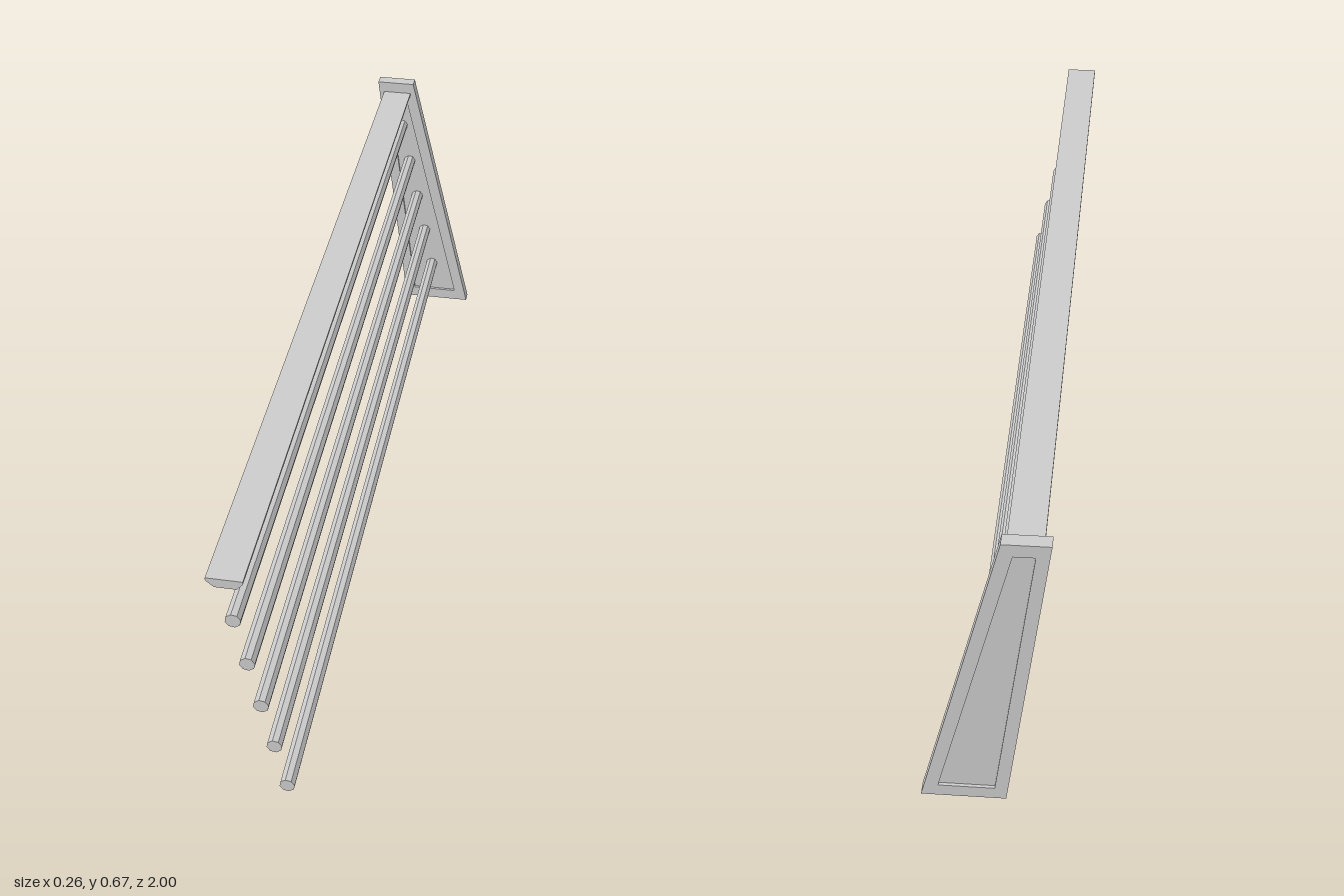
import * as THREE from 'three';

const material = new THREE.MeshStandardMaterial({ color: 0xcccccc, flatShading: true });

const points = (list) => list.map(([x, y]) => new THREE.Vector2(x, y));

// Extrudes a front outline between two z positions
function slab(name, shape, zBack, zFront) {
  const geometry = new THREE.ExtrudeGeometry(shape, { depth: zFront - zBack, bevelEnabled: false });
  geometry.translate(0, 0, zBack);
  const mesh = new THREE.Mesh(geometry, material);
  mesh.name = name;
  return mesh;
}

export function createModel() {
  const model = new THREE.Group();
  model.name = 'railing';

  // Slanted end post: a tapered frame around a panel recessed on both faces
  const post = new THREE.Group();
  post.name = 'endPost';
  const inner = points([[-0.02, 0.028], [0.094, 0.028], [-0.058, 0.639], [-0.1, 0.639]]);
  const frame = new THREE.Shape(points([[-0.043, 0], [0.129, 0], [-0.036, 0.667], [-0.13, 0.667]]));
  frame.holes.push(new THREE.Path(inner));
  post.add(slab('postFrame', frame, -1, -0.97));
  post.add(slab('postPanel', new THREE.Shape(inner), -0.993, -0.977));
  model.add(post);

  // Handrail with a flat top and chamfered underside
  const rail = new THREE.Shape(points([
    [-0.098, 0.62], [-0.055, 0.62], [-0.043, 0.634],
    [-0.043, 0.64], [-0.114, 0.64], [-0.114, 0.634],
  ]));
  model.add(slab('handrail', rail, -0.98, 1));

  // Five octagonal bars following the slant of the post
  const zBack = -0.98;
  const barGeometry = new THREE.CylinderGeometry(0.0158, 0.0158, 1 - zBack, 8);
  barGeometry.rotateX(Math.PI / 2);
  barGeometry.rotateZ(0.22);
  for (let i = 0; i < 5; i++) {
    const bar = new THREE.Mesh(barGeometry, material);
    bar.name = `bar${i + 1}`;
    bar.position.set(0.026 - 0.023 * i, 0.11 + 0.1075 * i, (1 + zBack) / 2);
    model.add(bar);
  }

  return model;
}
